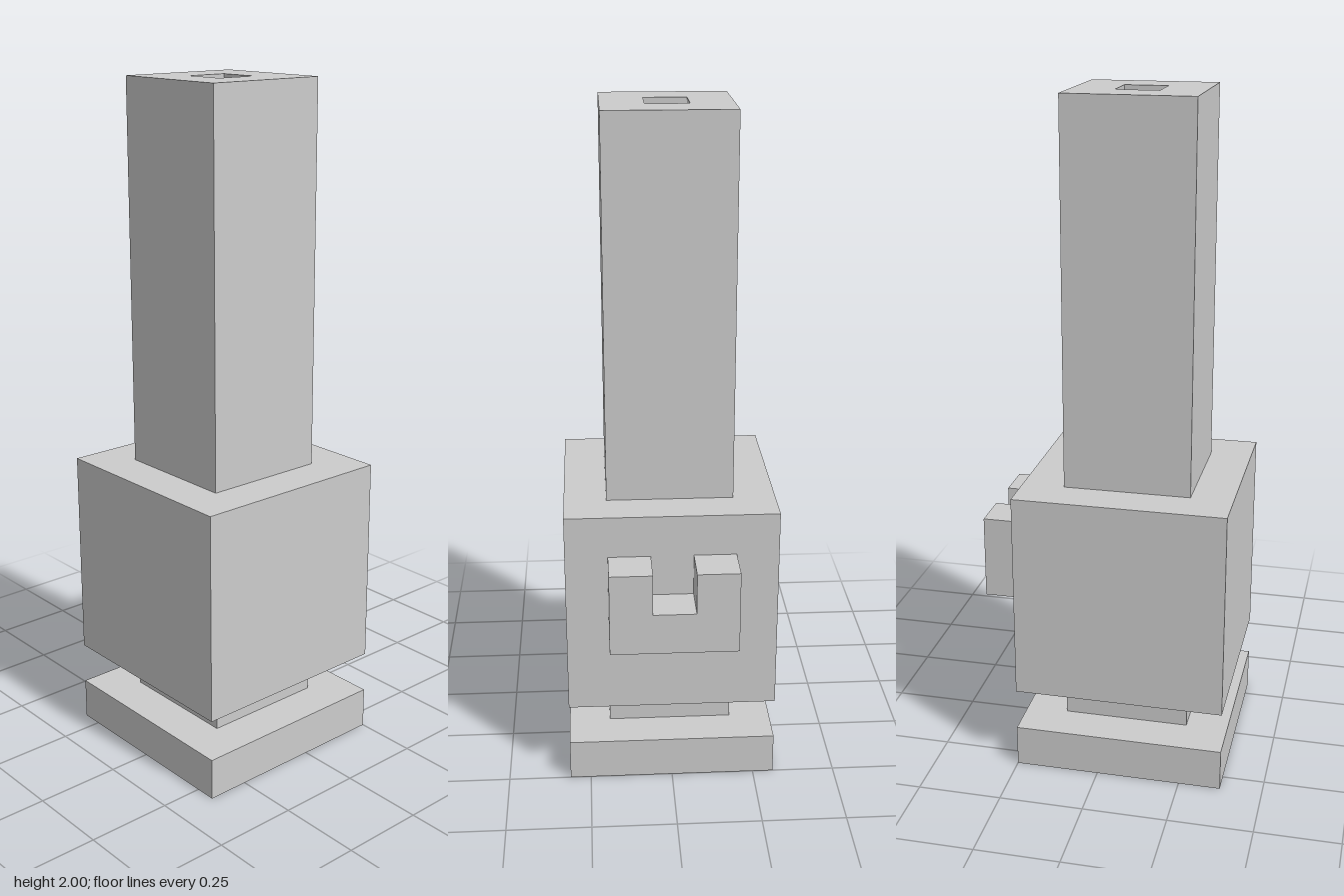
import * as THREE from 'three';

const material = new THREE.MeshStandardMaterial({ color: 0xcccccc, flatShading: true });
const AXIS_Z = 0.0625; // the tower's centre line

// Square outline centred on the origin
function square(PathType, size) {
  const h = size / 2;
  return new PathType([[-h, -h], [h, -h], [h, h], [-h, h]].map(([x, y]) => new THREE.Vector2(x, y)));
}

export function createModel() {
  const model = new THREE.Group();
  model.name = 'tower';

  const add = (name, geometry, x, y, z) => {
    const mesh = new THREE.Mesh(geometry, material);
    mesh.name = name;
    mesh.position.set(x, y, z);
    model.add(mesh);
    return mesh;
  };

  // Square blocks stacked on the centre line: name, width, bottom, top
  const blocks = [
    ['base', 0.625, 0, 0.125],
    ['neck', 0.375, 0.125, 0.25],
    ['body', 0.625, 0.25, 0.875],
  ];
  for (const [name, width, bottom, top] of blocks) {
    add(name, new THREE.BoxGeometry(width, top - bottom, width), 0, (bottom + top) / 2, AXIS_Z);
  }

  // Tall hollow shaft with a square bore, closed below by the body
  const section = square(THREE.Shape, 0.375);
  section.holes.push(square(THREE.Path, 0.125));
  const shaft = new THREE.ExtrudeGeometry(section, { depth: 1.125, bevelEnabled: false });
  shaft.rotateX(-Math.PI / 2);
  add('shaft', shaft, 0, 0.875, AXIS_Z);

  // U-shaped bracket on the back of the body
  const outline = [
    [-0.1875, 0.5], [0.1875, 0.5], [0.1875, 0.75], [0.0625, 0.75],
    [0.0625, 0.625], [-0.0625, 0.625], [-0.0625, 0.75], [-0.1875, 0.75],
  ];
  const bracket = new THREE.Shape(outline.map(([x, y]) => new THREE.Vector2(x, y)));
  add('backBracket', new THREE.ExtrudeGeometry(bracket, { depth: 0.125, bevelEnabled: false }), 0, 0, -0.375);

  return model;
}
